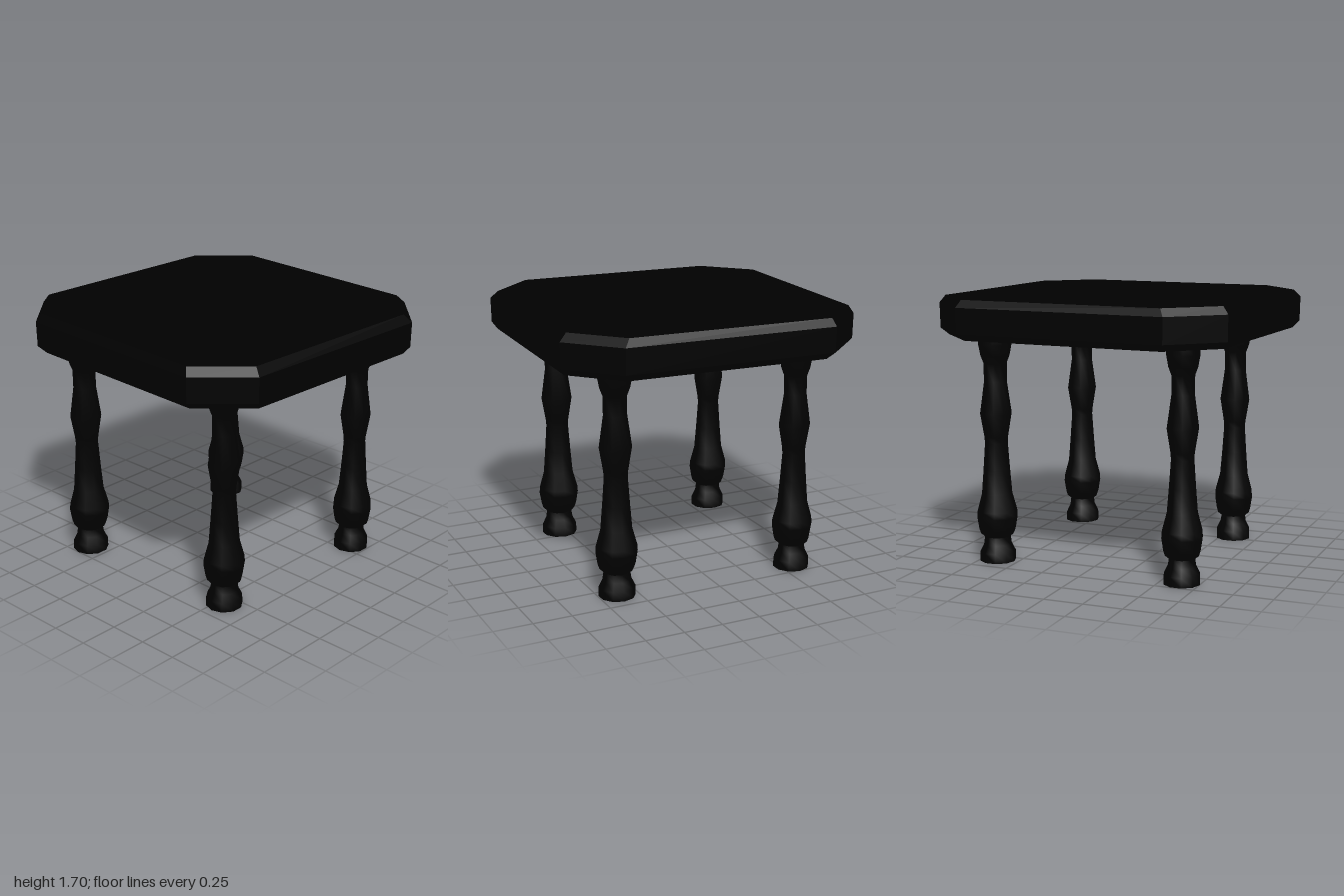
import * as THREE from 'three';
import { toCreasedNormals } from 'three/addons/utils/BufferGeometryUtils.js';

const material = new THREE.MeshStandardMaterial({ color: 0x000000 });

// Clipped-corner outline (x, z), slightly skewed, with a quarter-turn symmetry
function outline() {
  const points = [];
  let pair = [[0.64, 0.998], [0.94, 0.72]];
  for (let i = 0; i < 4; i++) {
    points.push(...pair);
    pair = pair.map(([x, z]) => [z, -x]);
  }
  return points;
}

// Slab lofted from horizontal rings: [height, scale, x shift], bottom to top
function slabGeometry(rings) {
  const base = outline(), n = base.length;
  const positions = [], index = [];
  for (const [y, s, shift] of rings) {
    for (const [x, z] of base) positions.push(x * s + shift, y, z * s);
  }
  for (let r = 0; r < rings.length - 1; r++) {
    for (let i = 0; i < n; i++) {
      const a = r * n + i, b = r * n + (i + 1) % n;
      index.push(a, b, b + n, a, b + n, a + n);
    }
  }
  const top = (rings.length - 1) * n;
  for (let i = 1; i < n - 1; i++) {
    index.push(0, i + 1, i);
    index.push(top, top + i, top + i + 1);
  }
  const geometry = new THREE.BufferGeometry();
  geometry.setAttribute('position', new THREE.Float32BufferAttribute(positions, 3));
  geometry.setIndex(index);
  return toCreasedNormals(geometry, 0.4);
}

// Turned leg profile: [radius, height]
const legProfile = [
  [0, 0], [0.116, 0], [0.115, 0.06], [0.09, 0.11], [0.083, 0.16], [0.108, 0.18],
  [0.118, 0.21], [0.131, 0.29], [0.128, 0.33], [0.098, 0.44], [0.085, 0.6],
  [0.073, 0.77], [0.076, 0.81], [0.101, 0.96], [0.073, 1.16], [0.074, 1.28],
  [0.093, 1.33], [0.106, 1.4], [0.107, 1.47],
];

export function createModel() {
  const group = new THREE.Group();
  group.name = 'table';

  // Table top with worn, bevelled edges
  const top = new THREE.Mesh(slabGeometry([
    [1.45, 0.955, 0.01], [1.495, 0.997, 0], [1.655, 1, 0], [1.702, 0.962, -0.012],
  ]), material);
  top.name = 'tableTop';
  group.add(top);

  // Four turned legs, set slightly askew
  const legGeometry = toCreasedNormals(
    new THREE.LatheGeometry(legProfile.map(([r, y]) => new THREE.Vector2(r, y)), 10), 0.9);
  const legs = {
    frontLeftLeg: [0.546, 0.584], frontRightLeg: [-0.635, 0.637],
    backLeftLeg: [0.632, -0.582], backRightLeg: [-0.578, -0.643],
  };
  for (const [name, [x, z]] of Object.entries(legs)) {
    const leg = new THREE.Mesh(legGeometry, material);
    leg.name = name;
    leg.position.set(x, 0, z);
    group.add(leg);
  }
  return group;
}
